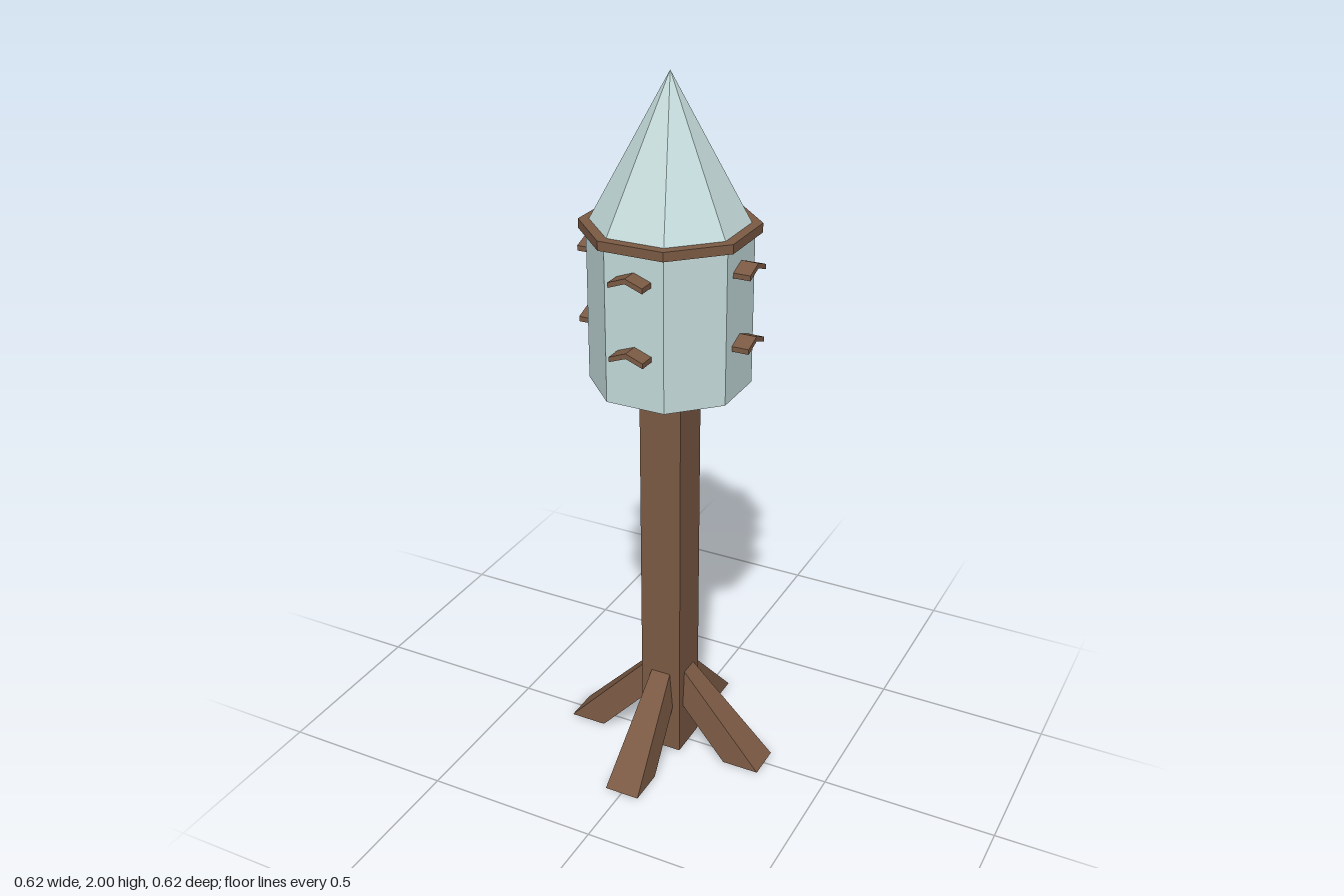
import * as THREE from 'three';

const wood = new THREE.MeshStandardMaterial({ color: 0x7b5a44, flatShading: true });
wood.name = 'brown wood';
const paint = new THREE.MeshStandardMaterial({ color: 0xc5dbdb, flatShading: true });
paint.name = 'pale blue paint';

// Octagonal prism or cone, flat sides facing the axes; sizes are apothems
function octagon(name, top, bottom, y0, y1, material) {
  const k = 1 / Math.cos(Math.PI / 8);
  const g = new THREE.CylinderGeometry(top * k, bottom * k, y1 - y0, 8);
  g.rotateY(Math.PI / 8);
  g.translate(0, (y0 + y1) / 2, 0);
  const mesh = new THREE.Mesh(g, material);
  mesh.name = name;
  return mesh;
}

// Extrudes an outline along z, centred on z = 0
function slab(points, depth) {
  const shape = new THREE.Shape(points.map(([x, y]) => new THREE.Vector2(x, y)));
  const g = new THREE.ExtrudeGeometry(shape, { depth, bevelEnabled: false });
  g.translate(0, 0, -depth / 2);
  return g;
}

// Slanted brace running out along +x, narrower towards the top
function braceGeometry() {
  const g = slab([[0.05, 0.161], [0.2, 0], [0.308, 0], [0.06, 0.264], [0.05, 0.264]], 0.102);
  const p = g.attributes.position;
  for (let i = 0; i < p.count; i++) {
    p.setZ(i, p.getZ(i) * (1 - 0.43 * p.getY(i) / 0.264));
  }
  g.computeVertexNormals();
  return g;
}

// Chevron-shaped little roof projecting along +x
function awningGeometry() {
  const g = slab([[-0.048, 0], [0, 0.018], [0.048, 0], [0.048, 0.014], [0, 0.032], [-0.048, 0.014]], 0.06);
  g.rotateY(Math.PI / 2);
  g.translate(0.217, 0, 0);
  return g;
}

export function createModel() {
  const model = new THREE.Group();
  model.name = 'birdhouse';

  // Square post
  const post = new THREE.Mesh(new THREE.BoxGeometry(0.122, 1.18, 0.122), wood);
  post.position.y = 0.59;
  post.name = 'post';
  model.add(post);

  // House with wooden floor, rim and spire
  model.add(octagon('house', 0.2, 0.2, 1.175, 1.605, [paint, wood, wood]));
  model.add(octagon('rim', 0.218, 0.218, 1.592, 1.617, wood));
  model.add(octagon('spire', 0, 0.192, 1.6175, 2, paint));

  // Four braces, and two awnings on each of four sides
  const brace = braceGeometry();
  const awning = awningGeometry();
  for (let i = 0; i < 4; i++) {
    const side = new THREE.Group();
    side.name = 'side' + (i + 1);
    side.rotation.y = i * Math.PI / 2;
    const leg = new THREE.Mesh(brace, wood);
    leg.name = 'brace';
    side.add(leg);
    for (const y of [1.313, 1.512]) {
      const roof = new THREE.Mesh(awning, wood);
      roof.name = 'awning';
      roof.position.y = y;
      side.add(roof);
    }
    model.add(side);
  }
  return model;
}
